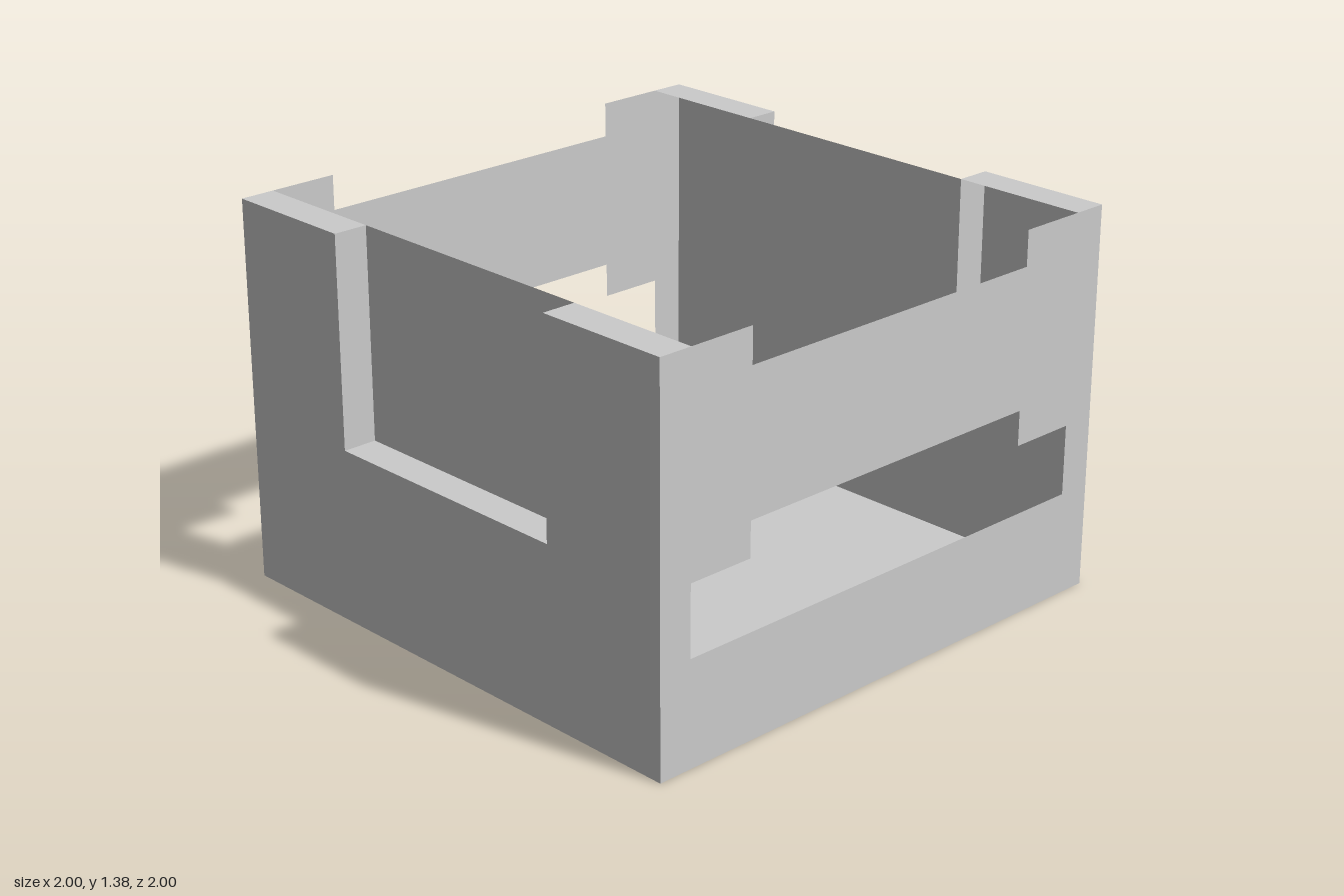
import * as THREE from 'three';

const H = 1.375; // crate height
const LEDGE = 0.625; // bottom of the side pockets
const IN = 0.875; // depth the pockets are pushed in to

const material = new THREE.MeshStandardMaterial({
  color: 0xcccccc, flatShading: true, side: THREE.DoubleSide,
});

const points = (list) => list.map(([x, y]) => new THREE.Vector2(x, y));

function add(group, name, geometry) {
  const mesh = new THREE.Mesh(geometry, material);
  mesh.name = name;
  group.add(mesh);
  return mesh;
}

// Thin end wall with a lowered rim and a stepped hand opening
function endWallGeometry() {
  const shape = new THREE.Shape(points([
    [-1, 0], [1, 0], [1, H], [0.625, H], [0.625, 1.25],
    [-0.625, 1.25], [-0.625, H], [-1, H],
  ]));
  shape.holes.push(new THREE.Path(points([
    [-IN, 0.375], [-IN, LEDGE], [-0.625, LEDGE], [-0.625, 0.75],
    [0.625, 0.75], [0.625, LEDGE], [IN, LEDGE], [IN, 0.375],
  ])));
  return new THREE.ShapeGeometry(shape);
}

// Thin side wall at x = 1 whose middle is pushed inwards as a pocket
function sideWall(name) {
  const side = new THREE.Group();
  side.name = name;
  const mid = (1 + IN) / 2, depth = 1 - IN, tall = H - LEDGE;

  const outer = new THREE.Shape(points([
    [-1, 0], [1, 0], [1, H], [0.5, H], [0.5, LEDGE],
    [-0.5, LEDGE], [-0.5, H], [-1, H],
  ]));
  add(side, 'outerWall', new THREE.ShapeGeometry(outer).rotateY(Math.PI / 2).translate(1, 0, 0));
  add(side, 'pocketPanel', new THREE.PlaneGeometry(1, tall)
    .rotateY(Math.PI / 2).translate(IN, LEDGE + tall / 2, 0));
  add(side, 'pocketLedge', new THREE.PlaneGeometry(depth, 1)
    .rotateX(-Math.PI / 2).translate(mid, LEDGE, 0));

  for (const s of [-1, 1]) {
    const cheek = new THREE.PlaneGeometry(depth, tall);
    if (s > 0) cheek.rotateY(Math.PI); // faces into the pocket
    add(side, 'pocketCheek', cheek.translate(mid, LEDGE + tall / 2, s * 0.5));
    add(side, 'rimCap', new THREE.PlaneGeometry(depth, 0.5)
      .rotateX(-Math.PI / 2).translate(mid, H, s * 0.75));
  }
  return side;
}

export function createModel() {
  const crate = new THREE.Group();
  crate.name = 'crate';

  // Floor sheet, facing down
  add(crate, 'floor', new THREE.PlaneGeometry(2, 2).rotateX(Math.PI / 2));

  // End walls
  add(crate, 'frontWall', endWallGeometry().translate(0, 0, 1));
  add(crate, 'backWall', endWallGeometry().translate(0, 0, 1).rotateY(Math.PI));

  // Side walls
  crate.add(sideWall('leftWall'));
  const right = sideWall('rightWall');
  right.rotation.y = Math.PI;
  crate.add(right);

  return crate;
}
